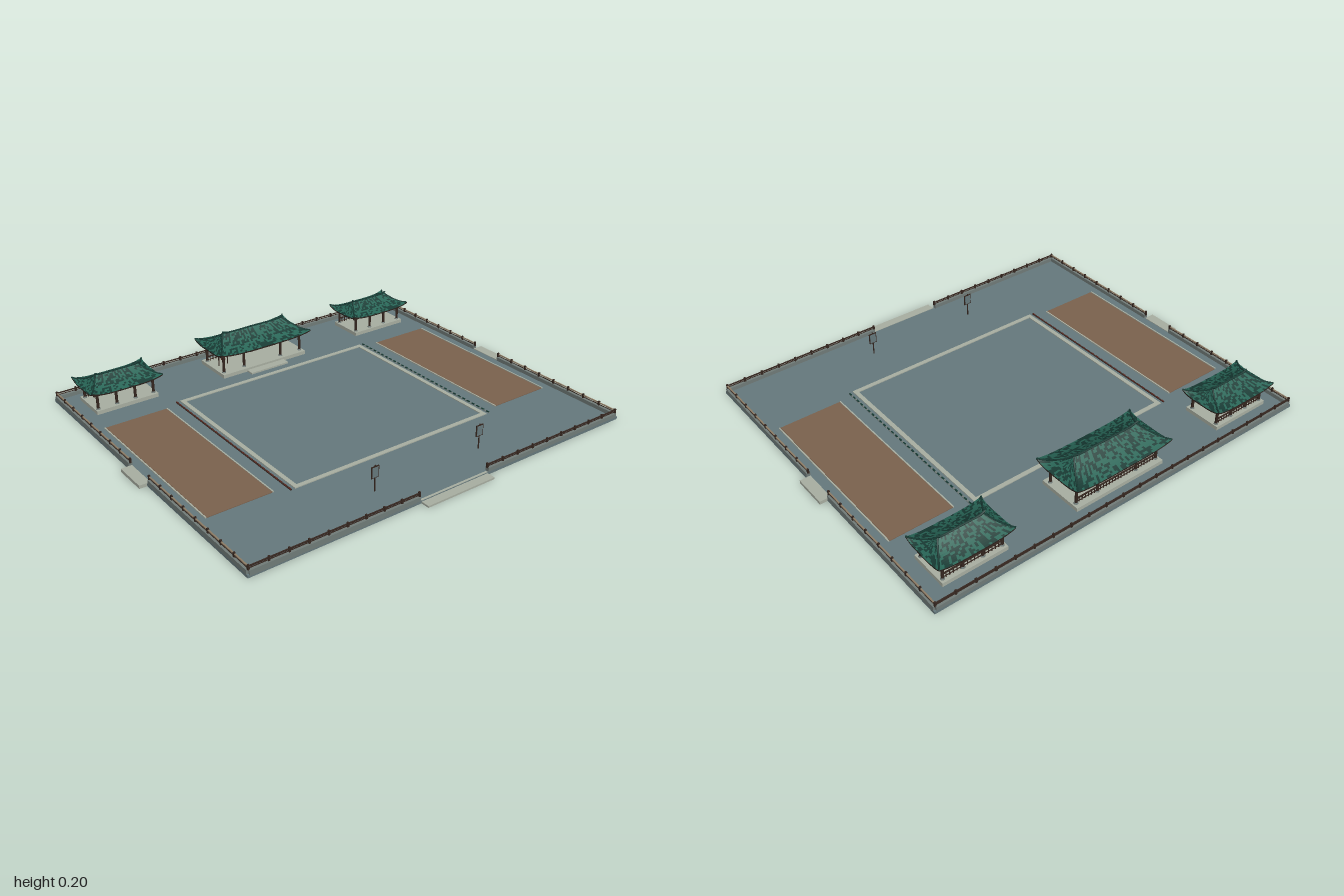
import * as THREE from 'three';

const mat = (name, color, side = THREE.FrontSide) => {
  const m = new THREE.MeshStandardMaterial({ color, side });
  m.name = name;
  return m;
};

export function createModel() {
  const paving = mat('blue grey paving', 0x66797d);
  const stone = mat('pale stone', 0xa9afa2);
  const curb = mat('curb grey', 0x717c79);
  const earth = mat('brown earth', 0x7b624e);
  const wood = mat('dark wood', 0x35261f);
  const tile = mat('green roof tile', 0x276556);
  const darkTile = mat('dark roof tile', 0x173b34);
  const soffit = mat('roof underside', 0x2a211c, THREE.DoubleSide);
  const red = mat('plaque red', 0x5a2a22);
  const tan = mat('tan rail', 0x8f7d66);

  const model = new THREE.Group();
  const group = (name, parent = model) => {
    const g = new THREE.Group();
    g.name = name;
    parent.add(g);
    return g;
  };
  const add = (parent, name, geo, material, x = 0, y = 0, z = 0) => {
    const m = new THREE.Mesh(geo, material);
    m.name = name;
    m.position.set(x, y, z);
    parent.add(m);
    return m;
  };
  // Box given by its two extreme corners
  const box = (parent, name, material, x0, x1, y0, y1, z0, z1) =>
    add(parent, name, new THREE.BoxGeometry(x1 - x0, y1 - y0, z1 - z0), material,
      (x0 + x1) / 2, (y0 + y1) / 2, (z0 + z1) / 2);
  const tube = (parent, name, material, pts, r) =>
    add(parent, name, new THREE.TubeGeometry(new THREE.CatmullRomCurve3(pts), 10, r, 5), material);

  // Courtyard floor and entrance slabs
  const T = 0.012;
  box(model, 'courtyardFloor', paving, -0.965, 0.965, 0, T, -0.84, 0.8);
  box(model, 'frontStep', stone, -0.175, 0.175, 0, 0.008, 0.8, 0.84);
  box(model, 'frontThreshold', stone, -0.175, 0.175, T, T + 0.002, 0.79, 0.8);
  for (const s of [-1, 1]) {
    const side = s < 0 ? 'right' : 'left';
    const [a, b] = s < 0 ? [-1, -0.95] : [0.95, 1];
    box(model, side + 'Step', stone, a, b, 0, T + 0.003, -0.1, 0.06);
    // Earth beds with stone edging
    box(model, side + 'EarthBed', earth, s * 0.75 - 0.148, s * 0.75 + 0.148, T, T + 0.003, -0.45, 0.41);
    for (const x of [0.6, 0.903])
      box(model, side + 'BedEdge', stone, s * x - 0.003, s * x + 0.003, T, T + 0.005, -0.45, 0.41);
    // Drain channel with a row of grate bars next to the square
    const drain = group(side + 'Drain');
    const dx = s * 0.535;
    box(drain, 'channel', s < 0 ? wood : curb, dx - 0.004, dx + 0.004, T, T + 0.002, -0.48, 0.44);
    for (let i = 0; i < 30; i++) {
      const z = -0.472 + i * 0.031;
      box(drain, 'grateBar', s < 0 ? red : darkTile, dx - 0.003, dx + 0.003, T, T + 0.005, z - 0.008, z + 0.008);
    }
    // Stone border of the square
    box(model, side + 'SquareBorder', stone, s * 0.507 - 0.01, s * 0.507 + 0.01, T, T + 0.004, -0.48, 0.44);
  }
  for (const z of [-0.47, 0.43])
    box(model, 'squareBorder', stone, -0.5, 0.5, T, T + 0.004, z - 0.01, z + 0.01);

  // Low perimeter wall with a post-and-rail fence on top
  function fence(x0, z0, x1, z1) {
    const g = group('perimeterFence');
    const alongX = z0 === z1;
    const bar = (name, m, y0, y1, h) => alongX
      ? box(g, name, m, x0, x1, y0, y1, z0 - h, z0 + h)
      : box(g, name, m, x0 - h, x0 + h, y0, y1, z0, z1);
    bar('wall', curb, 0.006, 0.03, 0.009);
    bar('lowerRail', wood, 0.034, 0.036, 0.002);
    bar('topRail', alongX ? wood : tan, 0.041, 0.045, 0.003);
    const n = Math.round(Math.hypot(x1 - x0, z1 - z0) / 0.09);
    for (let i = 0; i <= n; i++) {
      const x = x0 + (x1 - x0) * i / n, z = z0 + (z1 - z0) * i / n;
      box(g, 'post', wood, x - 0.004, x + 0.004, 0.028, 0.05, z - 0.004, z + 0.004);
    }
  }
  fence(-0.956, -0.831, 0.956, -0.831);
  for (const s of [-1, 1]) {
    fence(s * 0.956, -0.831, s * 0.956, -0.1);
    fence(s * 0.956, 0.065, s * 0.956, 0.791);
    fence(s > 0 ? 0.18 : -0.956, 0.791, s > 0 ? 0.956 : -0.18, 0.791);
  }

  // Curved hip roof with lifted corners and mottled tiles
  function roof(g, hx, hz, rx, eave, top) {
    const lift = 0.016;
    const point = (side, s, t) => {
      const X = hx + (rx - hx) * t, Z = hz * (1 - t);
      const y = eave + (top - eave) * (0.6 * t + 0.4 * t * t) + lift * (1 - t) ** 3 * Math.abs(s) ** 4;
      return [new THREE.Vector3(s * X, y, Z), new THREE.Vector3(X, y, -s * Z),
        new THREE.Vector3(-s * X, y, -Z), new THREE.Vector3(-X, y, s * Z)][side];
    };
    const light = [], dark = [], under = [];
    let seed = 7;
    const rand = () => (seed = (seed * 16807) % 2147483647) / 2147483647;
    const quad = (list, a, b, c, d) => [a, b, c, a, c, d].forEach(p => list.push(p.x, p.y, p.z));
    const rows = 12;
    for (let side = 0; side < 4; side++) {
      const cols = Math.round((side % 2 ? hz : hx) * 2 / 0.012);
      for (let i = 0; i < cols; i++) for (let j = 0; j < rows; j++) {
        const s0 = i / cols * 2 - 1, s1 = (i + 1) / cols * 2 - 1, t0 = j / rows, t1 = (j + 1) / rows;
        const c = [point(side, s0, t0), point(side, s1, t0), point(side, s1, t1), point(side, s0, t1)];
        quad(rand() < 0.5 ? dark : light, ...c);
        const low = c.map(p => p.clone().setY(p.y - 0.006));
        quad(under, low[3], low[2], low[1], low[0]);
        if (j === 0) quad(under, low[0], low[1], c[1], c[0]);
      }
    }
    const mesh = (name, list, m) => {
      const geo = new THREE.BufferGeometry();
      geo.setAttribute('position', new THREE.Float32BufferAttribute(list, 3));
      geo.computeVertexNormals();
      add(g, name, geo, m);
    };
    mesh('roofTiles', light, tile);
    mesh('roofDarkTiles', dark, darkTile);
    mesh('roofUnderside', under, soffit);
    // Hip ridges and the main ridge with raised ends
    for (let side = 0; side < 4; side++)
      tube(g, 'hipRidge', darkTile, [0, 0.2, 0.45, 0.7, 1].map(t => point(side, 1, t)), 0.004);
    const V = (x, y) => new THREE.Vector3(x, y, 0);
    tube(g, 'mainRidge', darkTile, [V(-rx - 0.006, top + 0.009), V(-rx * 0.88, top + 0.001), V(0, top),
      V(rx * 0.88, top + 0.001), V(rx + 0.006, top + 0.009)], 0.005);
  }

  // Open pavilion: stone floor, columns, beams, rear railing and roof
  function pavilion(name, x, z, o) {
    const g = group(name);
    g.position.set(x, 0, z);
    const { fx, fz, cols, cz, eave } = o;
    const floor = 0.03, beam = eave - 0.002;
    box(g, 'stoneFloor', stone, -fx, fx, 0.006, floor, -fz, fz);
    const column = new THREE.CylinderGeometry(0.0065, 0.0065, beam - floor, 10);
    const base = new THREE.CylinderGeometry(0.008, 0.01, 0.006, 10);
    const end = cols[cols.length - 1];
    for (const zz of [-cz, cz]) {
      for (const cx of cols) {
        add(g, 'column', column, wood, cx, (beam + floor) / 2, zz);
        add(g, 'columnBase', base, curb, cx, floor + 0.003, zz);
        // Bracket under the beam
        box(g, 'bracket', wood, cx - 0.016, cx + 0.016, beam - 0.016, beam - 0.01, zz - 0.004, zz + 0.004);
      }
      box(g, 'longBeam', wood, -end - 0.012, end + 0.012, beam - 0.01, beam + 0.006, zz - 0.005, zz + 0.005);
    }
    for (const cx of [-end, end])
      box(g, 'crossBeam', wood, cx - 0.005, cx + 0.005, beam - 0.01, beam + 0.006, -cz, cz);
    // Rear railing with balusters
    box(g, 'rearRail', wood, -end, end, 0.052, 0.056, -cz - 0.003, -cz + 0.003);
    box(g, 'rearLowRail', wood, -end, end, 0.036, 0.038, -cz - 0.002, -cz + 0.002);
    const n = Math.round(end * 2 / 0.016);
    for (let i = 1; i < n; i++) {
      const bx = -end + 2 * end * i / n;
      box(g, 'baluster', wood, bx - 0.0015, bx + 0.0015, floor, 0.053, -cz - 0.0015, -cz + 0.0015);
    }
    roof(g, o.hx, o.hz, o.rx, eave, o.top);
    return g;
  }
  const hall = pavilion('mainPavilion', 0, -0.665, {
    fx: 0.235, fz: 0.105, cols: [-0.218, -0.105, 0.105, 0.218], cz: 0.078,
    hx: 0.255, hz: 0.125, rx: 0.17, eave: 0.128, top: 0.19 });
  for (const s of [-1, 1])
    pavilion(s < 0 ? 'rightPavilion' : 'leftPavilion', s * 0.723, -0.672, {
      fx: 0.152, fz: 0.09, cols: [-0.137, -0.046, 0.046, 0.137], cz: 0.07,
      hx: 0.174, hz: 0.107, rx: 0.105, eave: 0.112, top: 0.16 });

  // Name board, entrance step and drum stand of the main pavilion
  box(hall, 'boardFrame', wood, -0.072, 0.072, 0.102, 0.126, 0.084, 0.09);
  box(hall, 'boardPanel', red, -0.066, 0.066, 0.105, 0.123, 0.09, 0.092);
  box(hall, 'entranceStep', stone, -0.105, 0.105, 0.01, 0.02, 0.1, 0.145);
  const stand = group('drumStand', hall);
  stand.position.set(-0.175, 0, 0);
  for (const sx of [-0.024, 0.024])
    box(stand, 'standPost', wood, sx - 0.002, sx + 0.002, 0.03, 0.095, -0.002, 0.002);
  box(stand, 'standBeam', wood, -0.028, 0.028, 0.091, 0.095, -0.003, 0.003);
  box(stand, 'hanger', wood, -0.001, 0.001, 0.08, 0.092, -0.001, 0.001);
  add(stand, 'drum', new THREE.CylinderGeometry(0.008, 0.011, 0.024, 12), red, 0, 0.07, 0);

  // Two notice boards on poles near the front gate
  for (const s of [-1, 1]) {
    const g = group(s < 0 ? 'rightNoticeBoard' : 'leftNoticeBoard');
    g.position.set(s * 0.277, 0, 0.638);
    add(g, 'pole', new THREE.CylinderGeometry(0.0025, 0.003, 0.12, 8), wood, 0, 0.07, 0);
    box(g, 'boardFrame', wood, -0.019, 0.019, 0.073, 0.125, -0.002, 0.002);
    for (const zz of [-0.0025, 0.0025])
      box(g, 'boardFace', paving, -0.015, 0.015, 0.077, 0.121, zz - 0.001, zz + 0.001);
  }
  return model;
}
